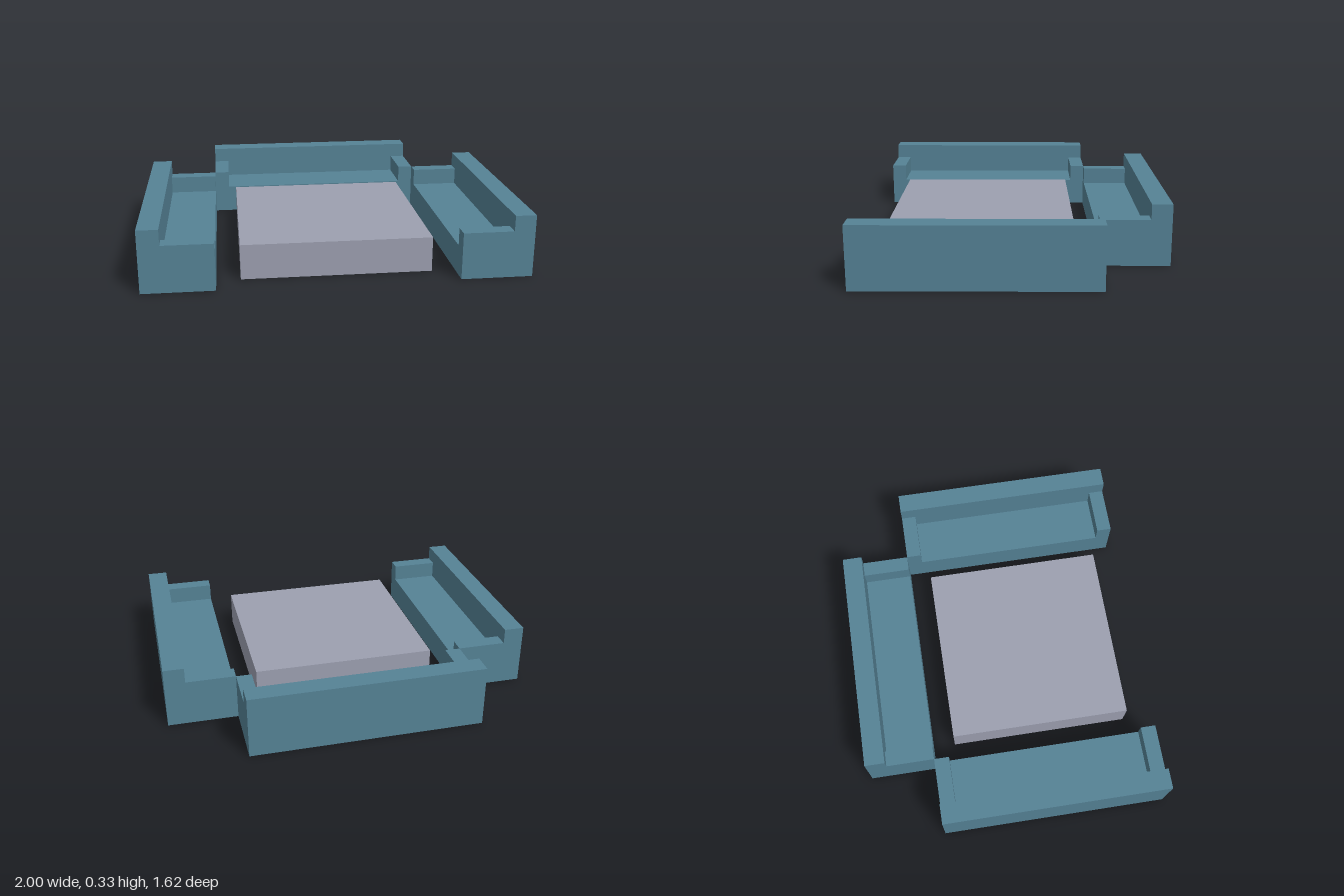
import * as THREE from 'three';

const LENGTH = 1.25, DEPTH = 0.375;
const BACK_T = 0.11, BACK_H = 0.333;
const ARM_W = 0.083, ARM_H = 0.25, SEAT_H = 0.155;

// Sofa centred on its own origin, facing +z
function createSofa(name, material) {
  const sofa = new THREE.Group();
  sofa.name = name;

  // Tall backrest along the rear edge
  const back = new THREE.Mesh(new THREE.BoxGeometry(LENGTH, BACK_H, BACK_T), material);
  back.name = 'backrest';
  back.position.set(0, BACK_H / 2, -DEPTH / 2 + BACK_T / 2);

  // Seat and both armrests as one U-shaped profile
  const h = LENGTH / 2, inner = h - ARM_W;
  const profile = new THREE.Shape([
    [-h, 0], [h, 0], [h, ARM_H], [inner, ARM_H],
    [inner, SEAT_H], [-inner, SEAT_H], [-inner, ARM_H], [-h, ARM_H],
  ].map(([x, y]) => new THREE.Vector2(x, y)));
  const seat = new THREE.Mesh(
    new THREE.ExtrudeGeometry(profile, { depth: DEPTH - BACK_T, bevelEnabled: false }), material);
  seat.name = 'seatAndArmrests';
  seat.position.z = -DEPTH / 2 + BACK_T;

  sofa.add(back, seat);
  return sofa;
}

export function createModel() {
  const model = new THREE.Group();
  model.name = 'loungeSet';

  const teal = new THREE.MeshStandardMaterial({ color: 0x558295 });
  teal.name = 'tealUpholstery';
  const grey = new THREE.MeshStandardMaterial({ color: 0x9c9fb0 });
  grey.name = 'greyTable';

  // Three sofas around the table, all facing inwards
  const places = [
    ['backSofa', 0, -0.625, 0],
    ['leftSofa', 0.8125, 0.1875, -Math.PI / 2],
    ['rightSofa', -0.8125, 0.1875, Math.PI / 2],
  ];
  for (const [name, x, z, turn] of places) {
    const sofa = createSofa(name, teal);
    sofa.position.set(x, 0, z);
    sofa.rotation.y = turn;
    model.add(sofa);
  }

  // Low square table in the middle
  const table = new THREE.Mesh(new THREE.BoxGeometry(1, 0.1875, 1), grey);
  table.name = 'table';
  table.position.set(0, 0.1875 / 2, 0.1855);
  model.add(table);

  return model;
}
